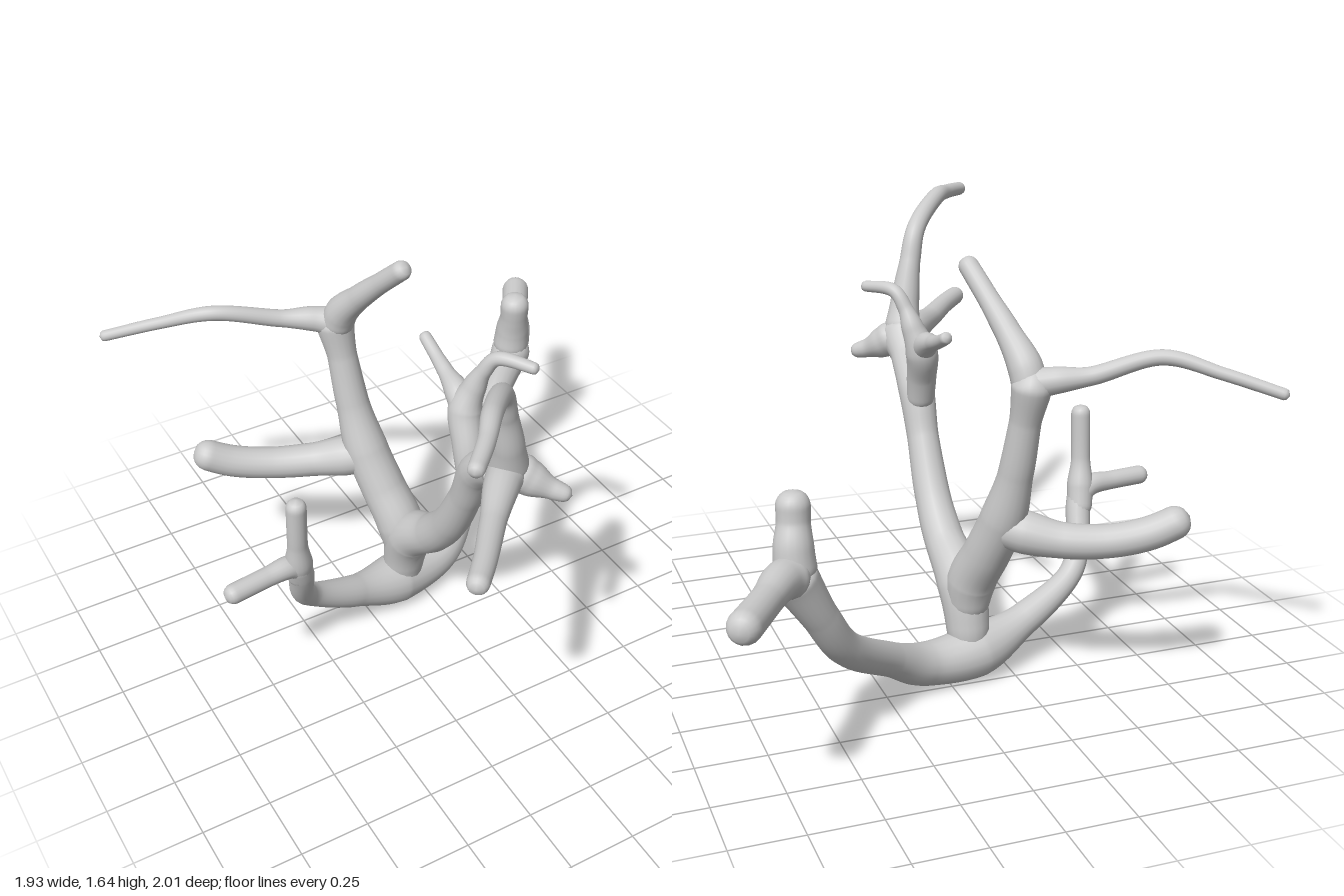
import * as THREE from 'three';
import { mergeVertices } from 'three/addons/utils/BufferGeometryUtils.js';

const material = new THREE.MeshStandardMaterial({ color: 0xcccccc });

// Tapered, round-ended limb through points [x, y, z, radius].
function limbGeometry(points) {
  const curve = new THREE.CatmullRomCurve3(points.map(p => new THREE.Vector3(p[0], p[1], p[2])));
  curve.arcLengthDivisions = 400;
  const length = curve.getLength();
  const rings = Math.ceil(length / 0.009), sides = 18;
  const geometry = new THREE.TubeGeometry(curve, rings, 1, sides, false);
  const pos = geometry.attributes.position;
  const v = new THREE.Vector3();
  for (let i = 0; i <= rings; i++) {
    const u = i / rings;
    const centre = curve.getPointAt(u);
    // radius eased between neighbouring control points
    const s = curve.getUtoTmapping(u) * (points.length - 1);
    const k = Math.min(Math.floor(s), points.length - 2);
    const f = THREE.MathUtils.smoothstep(s - k, 0, 1) * 0.5 + (s - k) * 0.5;
    let r = THREE.MathUtils.lerp(points[k][3], points[k + 1][3], f);
    // dome at either end
    const d = Math.min(u, 1 - u) * length;
    if (d < r) r *= Math.sqrt(Math.max(0, 1 - (1 - d / r) ** 2));
    for (let j = 0; j <= sides; j++) {
      const n = i * (sides + 1) + j;
      v.fromBufferAttribute(pos, n).sub(centre).multiplyScalar(r).add(centre);
      pos.setXYZ(n, v.x, v.y, v.z);
    }
  }
  // weld the seam so shading is smooth all round
  geometry.deleteAttribute('uv');
  geometry.deleteAttribute('normal');
  const welded = mergeVertices(geometry, 1e-5);
  welded.computeVertexNormals();
  return welded;
}

const limbs = {
  // low bow-shaped pair of arms with the rounded base in the middle
  lowerArms: [
    [-0.64, 0.62, 0.06, 0.045], [-0.615, 0.52, 0.03, 0.047], [-0.585, 0.37, -0.04, 0.043],
    [-0.53, 0.29, -0.085, 0.045], [-0.32, 0.165, -0.14, 0.063], [-0.12, 0.1, -0.19, 0.1],
    [0.1, 0.1, -0.235, 0.08], [0.26, 0.19, -0.33, 0.062], [0.48, 0.36, -0.51, 0.06],
    [0.58, 0.52, -0.58, 0.062], [0.67, 0.68, -0.61, 0.08], [0.7, 0.73, -0.63, 0.075],
  ],
  rightArmUpperTine: [[-0.615, 0.48, 0.015, 0.045], [-0.63, 0.6, 0.05, 0.05], [-0.637, 0.7, 0.068, 0.036], [-0.638, 0.91, 0.085, 0.036]],
  rightArmOuterTine: [[-0.61, 0.56, 0.035, 0.05], [-0.67, 0.594, 0.05, 0.042], [-0.76, 0.597, 0.062, 0.036], [-0.928, 0.597, 0.085, 0.036]],
  leftArmUpperTine: [[0.66, 0.65, -0.61, 0.075], [0.665, 0.78, -0.6, 0.066], [0.658, 0.86, -0.58, 0.055], [0.655, 0.963, -0.57, 0.058]],
  leftArmOuterTine: [[0.65, 0.68, -0.6, 0.08], [0.72, 0.705, -0.67, 0.065], [0.8, 0.703, -0.79, 0.053], [0.935, 0.703, -0.995, 0.056]],

  // trunk continuing into the front beam
  frontBeam: [
    [-0.09, 0.06, -0.185, 0.06], [-0.085, 0.2, -0.18, 0.08], [-0.08, 0.35, -0.13, 0.092],
    [-0.065, 0.47, 0.02, 0.075], [-0.06, 0.6, 0.13, 0.067], [-0.06, 0.8, 0.24, 0.06],
    [-0.06, 0.97, 0.32, 0.068], [-0.065, 1.06, 0.44, 0.06], [-0.08, 1.12, 0.53, 0.085], [-0.1, 1.17, 0.57, 0.07],
  ],
  frontLowerTine: [[-0.06, 1.12, 0.51, 0.07], [-0.14, 1.125, 0.59, 0.06], [-0.26, 1.125, 0.73, 0.043], [-0.38, 1.14, 0.88, 0.038], [-0.48, 1.15, 0.99, 0.036]],
  frontUpperTine: [
    [-0.07, 1.1, 0.52, 0.075], [-0.1, 1.25, 0.56, 0.055], [-0.13, 1.4, 0.585, 0.04], [-0.165, 1.51, 0.62, 0.036],
    [-0.31, 1.6, 0.79, 0.033], [-0.39, 1.6, 0.89, 0.028], [-0.495, 1.592, 0.995, 0.026],
  ],
  frontSpur: [[-0.07, 1.13, 0.52, 0.08], [-0.01, 1.085, 0.57, 0.06], [0.04, 1.055, 0.615, 0.036], [0.09, 1.035, 0.66, 0.026]],

  // upright fork on the front beam
  innerFork: [[-0.06, 0.9, 0.275, 0.05], [-0.055, 1.03, 0.24, 0.055], [-0.04, 1.14, 0.195, 0.06], [-0.01, 1.23, 0.205, 0.042],
    [0.01, 1.3, 0.23, 0.028], [0.04, 1.36, 0.265, 0.025], [0.125, 1.36, 0.39, 0.02]],
  innerForkBackTine: [[-0.045, 1.12, 0.22, 0.05], [-0.04, 1.18, 0.15, 0.046], [-0.035, 1.21, 0.06, 0.029], [-0.03, 1.235, -0.02, 0.024], [-0.03, 1.275, -0.11, 0.022]],

  // back beam, its three tines
  backBeam: [
    [-0.085, 0.22, -0.175, 0.07], [-0.095, 0.38, -0.19, 0.09], [-0.125, 0.52, -0.265, 0.085], [-0.155, 0.67, -0.335, 0.082],
    [-0.175, 0.85, -0.39, 0.062], [-0.19, 1.05, -0.43, 0.055], [-0.2, 1.18, -0.455, 0.07], [-0.2, 1.24, -0.46, 0.05],
  ],
  backUpperTine: [[-0.2, 1.14, -0.45, 0.06], [-0.19, 1.235, -0.42, 0.06], [-0.16, 1.34, -0.33, 0.045], [-0.125, 1.44, -0.23, 0.037], [-0.085, 1.55, -0.115, 0.035]],
  backOuterTine: [[-0.18, 1.18, -0.44, 0.06], [-0.27, 1.2, -0.485, 0.046], [-0.38, 1.215, -0.525, 0.032], [-0.61, 1.275, -0.59, 0.027], [-0.78, 1.23, -0.695, 0.022], [-0.965, 1.168, -0.81, 0.02]],
  backLowerTine: [[-0.12, 0.65, -0.31, 0.07], [-0.22, 0.625, -0.38, 0.077], [-0.33, 0.605, -0.445, 0.064], [-0.47, 0.605, -0.505, 0.06], [-0.61, 0.635, -0.555, 0.06], [-0.74, 0.7, -0.6, 0.058]],
};

export function createModel() {
  const model = new THREE.Group();
  model.name = 'branchingAntler';
  for (const [name, points] of Object.entries(limbs)) {
    const mesh = new THREE.Mesh(limbGeometry(points), material);
    mesh.name = name;
    model.add(mesh);
  }
  return model;
}
